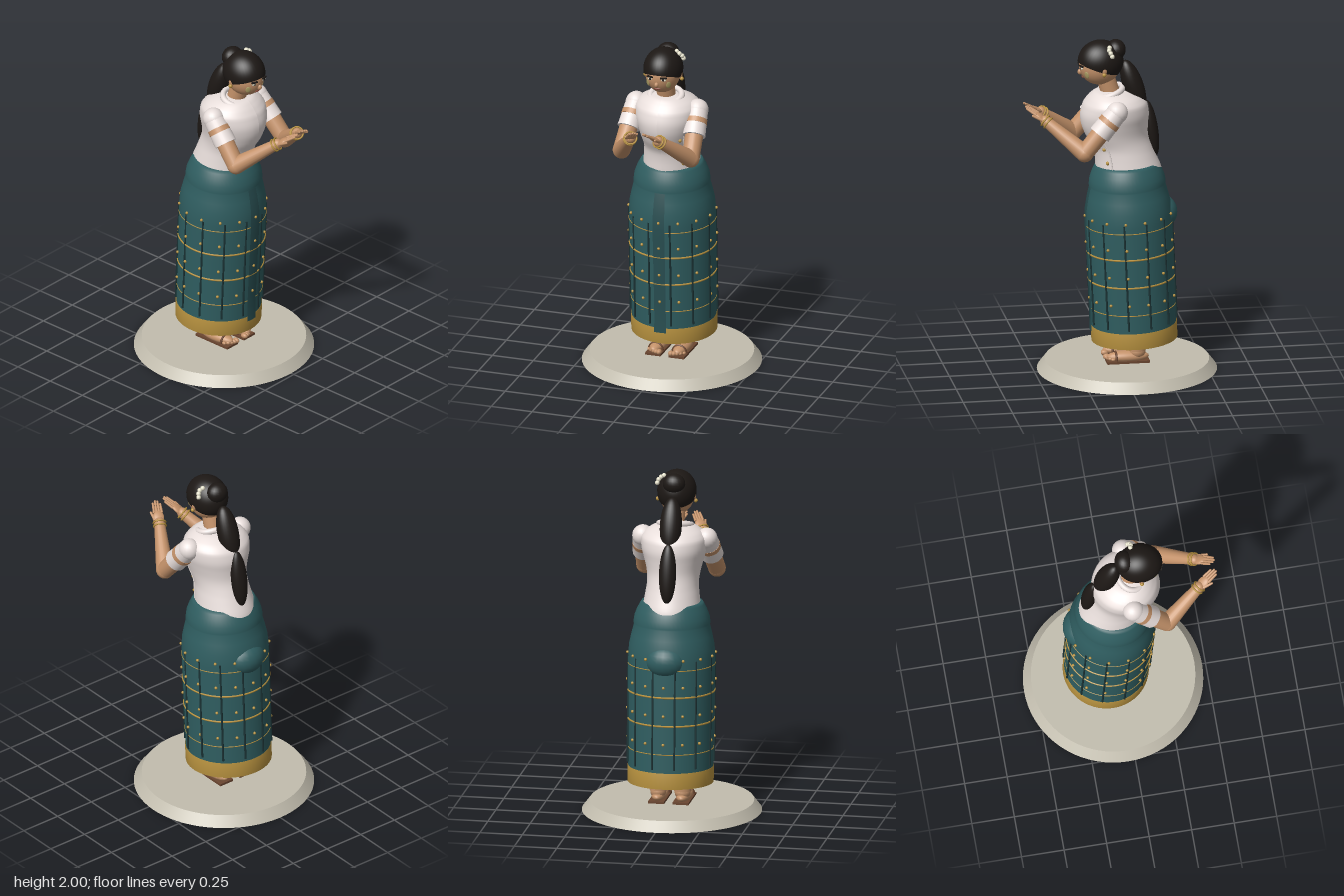
import * as THREE from 'three';

const mat = (color) => new THREE.MeshStandardMaterial({ color, side: THREE.DoubleSide });
const M = {
  skin: mat(0xc4926a), white: mat(0xe8dedb), teal: mat(0x2f5d60), sash: mat(0x284e51), line: mat(0x1b3335),
  gold: mat(0xb8923f), hair: mat(0x1d1815), stone: mat(0xc2bdae), pearl: mat(0xe6e2cc), sole: mat(0x6b4630),
  lip: mat(0x8e4a3c), paste: mat(0xa89a62),
};
const V = (x, y, z) => new THREE.Vector3(x, y, z);
const UP = V(0, 1, 0);

function add(parent, name, geo, material, pos = [0, 0, 0], rot = [0, 0, 0]) {
  const m = new THREE.Mesh(geo, material);
  m.name = name;
  m.position.set(...pos);
  m.rotation.set(...rot);
  parent.add(m);
  return m;
}
const ball = (rx, ry = rx, rz = rx, n = 20) => new THREE.SphereGeometry(1, n, Math.ceil(n * 0.7)).scale(rx, ry, rz);

// Tapered round limb between two points
function limb(parent, name, a, b, ra, rb, material, n = 20) {
  const d = b.clone().sub(a);
  const m = add(parent, name, new THREE.CylinderGeometry(rb, ra, d.length(), n), material);
  m.position.copy(a).add(b).multiplyScalar(0.5);
  m.quaternion.setFromUnitVectors(UP, d.normalize());
  return m;
}

// Skirt outline: radius at height
const SKIRT = [[0.275, 0.247], [0.6, 0.25], [0.92, 0.254], [1.0, 0.248], [1.06, 0.235], [1.12, 0.22],
  [1.13, 0.224], [1.17, 0.218], [1.21, 0.203], [1.24, 0.187], [1.255, 0.178], [1.255, 0.15]];
function skirtRadius(y) {
  const i = Math.max(1, SKIRT.findIndex((p) => p[0] >= y));
  const [a, b] = [SKIRT[i - 1], SKIRT[i]];
  return THREE.MathUtils.mapLinear(y, a[0], b[0], a[1], b[1]);
}

function makeSkirt() {
  const g = new THREE.Group();
  g.name = 'skirt';
  g.position.z = -0.095;
  g.rotation.x = 0.045;
  const lathe = (pts, ...a) => new THREE.LatheGeometry(pts.map(([y, r]) => new THREE.Vector2(r, y)), ...a);
  add(g, 'skirtCloth', lathe(SKIRT, 56), M.teal);
  add(g, 'hemBand', lathe([[0.185, 0.24], [0.185, 0.25], [0.28, 0.251], [0.28, 0.24]], 56), M.gold);
  // Front fold
  const fold = [[0.255, 0.258]];
  for (let y = 0.35; y < 1.12; y += 0.08) fold.push([y, skirtRadius(y) + 0.004]);
  fold.push([1.13, 0.22]);
  add(g, 'frontFold', lathe(fold, 6, -0.14, 0.28), M.sash);
  // Gold woven rings
  [[0.89, 0.003], [0.73, 0.006], [0.56, 0.006], [0.39, 0.003]].forEach(([y, t]) =>
    add(g, 'wovenRing', new THREE.TorusGeometry(skirtRadius(y), t, 6, 56), M.gold, [0, y, 0], [Math.PI / 2, 0, 0]));
  // Dark vertical stripes
  for (let i = 0; i < 12; i++) {
    const a = (i + 0.5) * Math.PI / 6;
    add(g, 'stripe', new THREE.CylinderGeometry(0.006, 0.006, 0.64, 6), M.line,
      [0.252 * Math.sin(a), 0.62, 0.252 * Math.cos(a)]);
  }
  // Rows of beads
  for (const y of [0.95, 0.79, 0.62, 0.45]) for (let i = 0; i < 14; i++) {
    const a = i * Math.PI / 7, r = skirtRadius(y) + 0.004;
    add(g, 'bead', ball(0.009, 0.009, 0.009, 8), M.gold, [r * Math.sin(a), y, r * Math.cos(a)]);
  }
  add(g, 'backKnot', ball(0.12, 0.1, 0.1), M.teal, [0, 0.935, -0.185]);
  return g;
}

// Torso sections: height, centre z, half width, half depth
const TORSO = [[1.15, -0.06, 0.17, 0.19], [1.22, -0.052, 0.168, 0.191], [1.3, -0.033, 0.157, 0.178],
  [1.36, -0.015, 0.15, 0.172], [1.43, 0.017, 0.157, 0.183], [1.5, 0.03, 0.175, 0.196], [1.56, 0.03, 0.19, 0.2],
  [1.62, 0.028, 0.192, 0.185], [1.66, 0.032, 0.165, 0.15], [1.69, 0.045, 0.11, 0.1], [1.7, 0.05, 0.05, 0.04]];
const torsoY = new THREE.CatmullRomCurve3(TORSO.map((s) => V(0, s[0], 0)));
const torsoS = new THREE.CatmullRomCurve3(TORSO.map((s) => V(s[1], s[2], s[3])));
function torsoPoint(t, a) {
  const s = torsoS.getPoint(t);
  return V(s.y * Math.sin(a), torsoY.getPoint(t).y, s.x + s.z * Math.cos(a));
}

function makeBlouse() {
  const g = new THREE.Group();
  g.name = 'blouse';
  const rows = 40, pts = [];
  for (let i = 0; i <= rows; i++) pts.push(new THREE.Vector2(1, i / rows));
  const geo = new THREE.LatheGeometry(pts, 48);
  const p = geo.attributes.position;
  for (let i = 0; i < p.count; i++) {
    const q = torsoPoint(p.getY(i), Math.atan2(p.getX(i), p.getZ(i)));
    p.setXYZ(i, q.x, q.y, q.z);
  }
  geo.computeVertexNormals();
  add(g, 'bodice', geo, M.white);
  add(g, 'collar', new THREE.TorusGeometry(0.09, 0.018, 12, 40).rotateX(Math.PI / 2).scale(1.03, 1, 0.9),
    M.white, [0, 1.688, 0.062], [0.3, 0, 0]);
  // Side opening with buttons
  const edge = [0.1, 0.2, 0.3, 0.4, 0.5].map((t) => torsoPoint(t, 0.95));
  add(g, 'sideOpening', new THREE.TubeGeometry(new THREE.CatmullRomCurve3(edge), 20, 0.005, 6), M.white);
  for (const t of [0.18, 0.31, 0.43])
    add(g, 'button', ball(0.011, 0.011, 0.011, 10), M.gold, torsoPoint(t, 0.8).toArray());
  return g;
}

function makeArm(s) {
  const g = new THREE.Group();
  g.name = s > 0 ? 'leftArm' : 'rightArm';
  const S = V(s * 0.188, 1.615, 0.045), E = V(s * 0.212, 1.385, 0.24), W = V(s * 0.085, 1.555, 0.45);
  const at = (t) => S.clone().lerp(E, t);
  add(g, 'shoulder', ball(0.063), M.white, S.toArray());
  limb(g, 'sleeve', S, at(0.54), 0.061, 0.066, M.white, 28);
  limb(g, 'sleeveBand', at(0.2), at(0.3), 0.0645, 0.0655, M.skin, 28);
  limb(g, 'upperArm', at(0.4), E, 0.054, 0.051, M.skin);
  add(g, 'elbow', ball(0.052), M.skin, E.toArray());
  limb(g, 'forearm', E, W, 0.052, 0.031, M.skin);
  add(g, 'wrist', ball(0.031), M.skin, W.toArray());
  // Bracelets
  const dir = W.clone().sub(E).normalize();
  for (const d of [0.0, 0.022]) {
    const b = add(g, 'bracelet', new THREE.TorusGeometry(0.036, 0.005, 8, 24), M.gold);
    b.position.copy(W).addScaledVector(dir, -d);
    b.quaternion.setFromUnitVectors(V(0, 0, 1), dir);
  }
  // Cupped hand, palm up: f along the fingers, r across, n out of the palm
  const f = V(-s * 0.055, 0.08, 0.1).normalize();
  const r = V(-s, 0, -0.55).addScaledVector(f, -V(-s, 0, -0.55).dot(f)).normalize();
  const n = f.clone().cross(r).normalize();
  const point = (a, b, c) => W.clone().addScaledVector(f, a).addScaledVector(r, b).addScaledVector(n, c * s);
  const palm = add(g, 'palm', ball(0.032, 0.042, 0.014), M.skin);
  palm.position.copy(point(0.035, 0, 0));
  palm.quaternion.setFromRotationMatrix(new THREE.Matrix4().makeBasis(r, f, r.clone().cross(f)));
  for (let i = 0; i < 4; i++) {
    const b = (i - 1.5) * 0.015, len = [0.125, 0.138, 0.135, 0.117][i];
    const k = point(0.06, b, 0), tip = point(len, b * 0.95, 0.006);
    limb(g, 'finger', k, tip, 0.0085, 0.0065, M.skin, 10);
    add(g, 'fingertip', ball(0.0067, 0.0067, 0.0067, 8), M.skin, tip.toArray());
  }
  const t0 = point(0.015, -0.022, 0), t1 = point(0.07, -0.04, 0.008);
  limb(g, 'thumb', t0, t1, 0.011, 0.007, M.skin, 10);
  add(g, 'thumbTip', ball(0.007, 0.007, 0.007, 8), M.skin, t1.toArray());
  return g;
}

function makeHead() {
  const g = new THREE.Group();
  g.name = 'head';
  limb(g, 'neck', V(0, 1.65, 0.045), V(0, 1.8, 0.09), 0.056, 0.052, M.skin);
  const c = V(0, 1.85, 0.118), R = V(0.1, 0.115, 0.12);
  add(g, 'face', ball(R.x, R.y, R.z, 32), M.skin, c.toArray());
  const onFace = (x, y, out = 0) =>
    [x, y, c.z + R.z * Math.sqrt(1 - (x / R.x) ** 2 - ((y - c.y) / R.y) ** 2) + out];
  add(g, 'nose', ball(0.013, 0.017, 0.016, 12), M.skin, onFace(0, 1.815));
  add(g, 'lips', ball(0.022, 0.006, 0.006, 12), M.lip, onFace(0, 1.785));
  for (const s of [-1, 1]) {
    add(g, 'eye', ball(0.016, 0.009, 0.007, 14), M.pearl, onFace(s * 0.04, 1.848));
    add(g, 'iris', ball(0.007, 0.008, 0.005, 10), M.hair, onFace(s * 0.04, 1.848, 0.004));
    add(g, 'eyelid', new THREE.BoxGeometry(0.04, 0.007, 0.014), M.hair, onFace(s * 0.041, 1.861, 0.005), [0, s * 0.3, 0]);
    add(g, 'cheekPatch', ball(0.016, 0.022, 0.005, 14), M.paste, onFace(s * 0.063, 1.812), [0.2, s * 0.75, 0]);
    add(g, 'ear', ball(0.014, 0.027, 0.018, 14), M.skin, [s * 0.1, 1.845, 0.105]);
    add(g, 'earring', ball(0.012, 0.012, 0.012, 10), M.gold, [s * 0.112, 1.822, 0.108]);
  }
  // Hair cap, bun and pony tail
  const cap = new THREE.SphereGeometry(1, 40, 24, 0, Math.PI * 2, 0, Math.PI / 2 + 0.33);
  cap.rotateX(-0.35).scale(0.114, 0.125, 0.133);
  add(g, 'hairCap', cap, M.hair, [0, 1.875, 0.112]);
  add(g, 'bun', ball(0.066, 0.06, 0.057), M.hair, [0, 1.94, 0.022]);
  add(g, 'ponytail', ball(0.064, 0.165, 0.06, 28), M.hair, [0, 1.715, -0.08], [0.32, 0, 0]);
  add(g, 'ponytailEnd', ball(0.05, 0.175, 0.042, 28), M.hair, [0, 1.45, -0.183], [0.15, 0, 0]);
  // Flowers in the hair
  [[0.068, 1.973, 0.07], [0.086, 1.962, 0.075], [0.1, 1.948, 0.068], [0.106, 1.93, 0.06]].forEach((q) =>
    add(g, 'hairFlower', ball(0.014, 0.014, 0.014, 12), M.pearl, q));
  return g;
}

function makeFoot(s) {
  const g = new THREE.Group();
  g.name = s > 0 ? 'leftFoot' : 'rightFoot';
  const x = s * 0.072;
  limb(g, 'leg', V(x, 0.13, -0.09), V(x, 0.4, -0.085), 0.052, 0.06, M.skin);
  add(g, 'ankle', ball(0.047, 0.045, 0.05), M.skin, [x, 0.12, -0.09]);
  add(g, 'foot', ball(0.046, 0.035, 0.125), M.skin, [x, 0.092, -0.035]);
  add(g, 'sole', new THREE.BoxGeometry(0.094, 0.014, 0.25), M.sole, [x, 0.066, -0.035]);
  add(g, 'strap', new THREE.TorusGeometry(0.042, 0.007, 8, 20, Math.PI), M.sole, [x, 0.078, 0.035]);
  for (let i = 0; i < 5; i++) {
    const r = 0.016 - i * 0.0016;
    add(g, 'toe', ball(r, r, r * 1.4, 10), M.skin, [x + s * (i - 2) * 0.018, 0.085, 0.083 - i * i * 0.0018]);
  }
  return g;
}

export function createModel() {
  const model = new THREE.Group();
  model.name = 'dancer';
  add(model, 'base', new THREE.CylinderGeometry(0.477, 0.523, 0.06, 72), M.stone, [0, 0.03, -0.043]);
  model.add(makeSkirt(), makeBlouse(), makeHead());
  for (const s of [-1, 1]) model.add(makeArm(s), makeFoot(s));
  return model;
}
